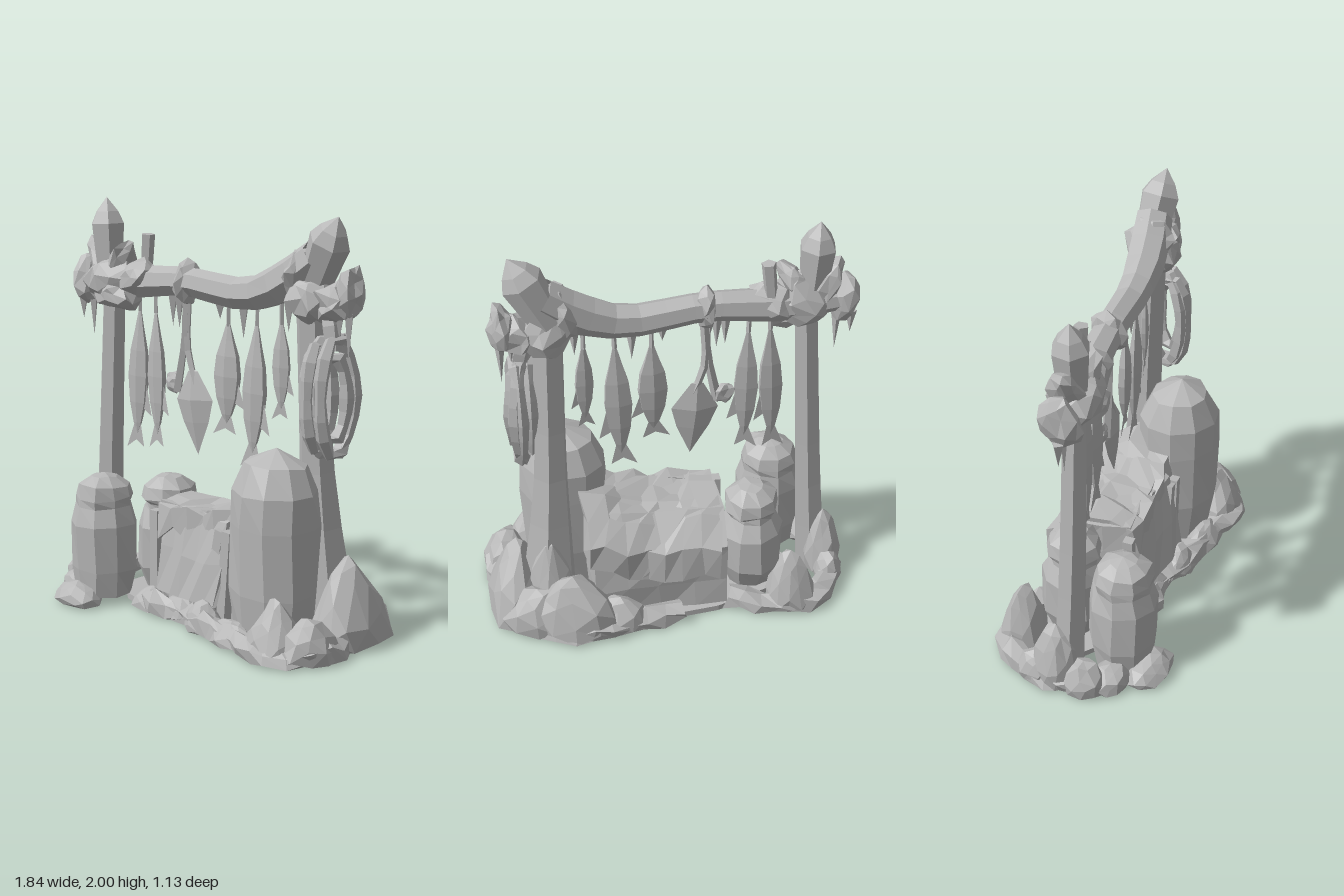
import * as THREE from 'three';

const stone = new THREE.MeshStandardMaterial({ color: 0xb8b8b8, flatShading: true, side: THREE.DoubleSide });
stone.name = 'plain grey';

const YAW = 0.245;
const beamZ = (x) => -0.03 - 0.25 * x; // the rack runs slightly askew

// Position-based noise, so shared corners stay joined
const hash = (x, y, z, s) => {
  const v = Math.sin(Math.round(x * 500) * 0.127 + Math.round(y * 500) * 0.311 + Math.round(z * 500) * 0.747 + s * 7.13) * 43758.5453;
  return (v - Math.floor(v)) * 2 - 1;
};

function reshape(geo, rule) {
  const p = geo.attributes.position;
  const v = new THREE.Vector3();
  for (let i = 0; i < p.count; i++) {
    v.fromBufferAttribute(p, i);
    rule(v);
    p.setXYZ(i, v.x, v.y, v.z);
  }
  geo.computeVertexNormals();
  return geo;
}

const jitter = (geo, amount, seed) => reshape(geo, (v) => {
  const { x, y, z } = v;
  v.x += amount * hash(x, y, z, seed);
  v.y += amount * hash(x, y, z, seed + 1);
  v.z += amount * hash(x, y, z, seed + 2);
});

export function createModel() {
  const model = new THREE.Group();
  const add = (name, geo, x = 0, y = 0, z = 0, ry = 0, rz = 0) => {
    const m = new THREE.Mesh(geo, stone);
    m.name = name;
    m.position.set(x, y, z);
    m.rotation.set(0, ry, rz);
    model.add(m);
    return m;
  };

  // Boulder with a flat foot; peak narrows its top
  let seed = 1;
  const rock = (name, x, z, rx, h, rz, peak = 0.2) => {
    const s = seed++;
    const geo = reshape(jitter(new THREE.IcosahedronGeometry(1, 1), 0.1, s), (v) => {
      const t = THREE.MathUtils.clamp((v.y + 0.45) / 1.45, 0, 1);
      const k = 1 - peak * t;
      v.set(v.x * rx * k, 0.01 + t * h, v.z * rz * k);
    });
    return add(name, geo, x, 0, z);
  };

  // Uneven lump, used for knots and bundles
  const lump = (name, x, y, z, rx, ry, rz, tilt = 0) => {
    const geo = jitter(new THREE.IcosahedronGeometry(1, 1), 0.2, seed++).scale(rx, ry, rz);
    return add(name, geo, x, y, z, YAW, tilt);
  };

  // Tapering limb through points [x, y, z, radius]
  const limb = (name, pts, sides = 6, steps = 8, closed = false) => {
    const curve = new THREE.CatmullRomCurve3(pts.map((p) => new THREE.Vector3(p[0], p[1], p[2])), closed);
    const geo = new THREE.TubeGeometry(curve, steps, 1, sides, closed);
    const pos = geo.attributes.position;
    const v = new THREE.Vector3();
    for (let i = 0; i <= steps; i++) {
      const t = i / steps;
      const c = curve.getPointAt(t);
      const f = curve.getUtoTmapping(t) * (closed ? pts.length : pts.length - 1);
      const a = Math.floor(f + 1e-6);
      const r = THREE.MathUtils.lerp(pts[a % pts.length][3], pts[(a + 1) % pts.length][3], Math.max(0, f - a));
      for (let j = 0; j <= sides; j++) {
        const k = i * (sides + 1) + j;
        v.fromBufferAttribute(pos, k).sub(c).multiplyScalar(r).add(c);
        pos.setXYZ(k, v.x, Math.max(0.004, v.y), v.z);
      }
    }
    return add(name, geo);
  };

  const lathe = (profile, sides) => new THREE.LatheGeometry(profile.map(([r, y]) => new THREE.Vector2(r, y)), sides);

  // Rack: two posts and a sagging crossbeam
  limb('leftPost', [[-0.76, 0, 0.13, 0.085], [-0.72, 0.6, 0.14, 0.07], [-0.665, 1.55, 0.14, 0.06]], 6, 6);
  limb('rightPost', [[0.57, 0, -0.25, 0.16], [0.54, 0.5, -0.22, 0.11], [0.525, 0.9, -0.2, 0.08], [0.515, 1.6, -0.17, 0.075]], 6, 6);
  limb('crossbeam', [[-0.88, 1.59, 0.17, 0.05], [-0.55, 1.59, 0.1, 0.085], [-0.2, 1.62, 0.02, 0.07],
    [0.18, 1.595, -0.075, 0.08], [0.38, 1.67, -0.125, 0.1], [0.54, 1.79, -0.18, 0.09]], 7, 12);

  // Pointed ends of the posts
  const tip = [[0, -0.2], [0.07, -0.16], [0.09, 0.08], [0.06, 0.14], [0, 0.21]];
  add('leftPostTip', lathe(tip, 6), -0.7, 1.79, 0.15, 0, 0.06);
  add('rightPostTip', lathe(tip, 6).scale(1.15, 1, 1.1), 0.58, 1.8, -0.19, 0, -0.48);

  // Lashings and snow clumps on the corners
  const clumps = [[-0.84, 1.58, 0.18, 0.07, 0.13, 0.09, 0.1], [-0.65, 1.6, 0.15, 0.14, 0.14, 0.12, 0],
    [-0.5, 1.62, 0.1, 0.11, 0.09, 0.1, 0.4], [-0.74, 1.68, 0.15, 0.06, 0.13, 0.08, 0.5], [-0.6, 1.54, 0.17, 0.13, 0.08, 0.09, -0.3],
    [-0.6, 1.69, 0.14, 0.05, 0.13, 0.08, -0.5],
    [-0.2, 1.62, 0.02, 0.05, 0.1, 0.085, 0], [0.45, 1.71, -0.15, 0.07, 0.14, 0.11, -0.3], [0.53, 1.6, -0.17, 0.12, 0.12, 0.12, 0.2],
    [0.66, 1.6, -0.2, 0.1, 0.09, 0.1, -0.2], [0.72, 1.65, -0.23, 0.055, 0.12, 0.09, 0]];
  for (const c of clumps) lump('lashing', ...c);
  add('stub', new THREE.CylinderGeometry(0.035, 0.03, 0.2, 5), -0.49, 1.73, 0.06, 0, -0.1);

  // Icicles
  const icicles = [[-0.88, 1.5, 0.12], [-0.81, 1.54, 0.24], [-0.62, 1.52, 0.08], [-0.29, 1.56, 0.16], [-0.25, 1.56, 0.17], [-0.22, 1.56, 0.1],
    [0.0, 1.54, 0.08], [0.14, 1.54, 0.16], [0.4, 1.58, 0.14], [0.62, 1.54, 0.16], [0.68, 1.56, 0.13], [0.73, 1.58, 0.24]];
  for (const [x, top, len] of icicles) {
    add('icicle', new THREE.ConeGeometry(0.028, len, 4).rotateX(Math.PI), x, top - len / 2, beamZ(x));
  }

  // Hanging fish: flattened body, forked tail, side fin, string
  const fish = (x, top, bottom, w, yaw, tilt) => {
    const g = new THREE.Group();
    g.name = 'hangingFish';
    const L = top - bottom;
    const part = (name, geo) => {
      const m = new THREE.Mesh(geo, stone);
      m.name = name;
      g.add(m);
    };
    part('body', lathe([[0, -0.9], [0.2, -0.82], [0.4, -0.68], [0.5, -0.5], [0.42, -0.33], [0.24, -0.2], [0.08, -0.07], [0, 0]]
      .map(([r, y]) => [r * w, y * L]), 6).scale(1, 1, 0.4));
    const flat = (pts) => new THREE.ShapeGeometry(new THREE.Shape(pts.map(([px, py]) => new THREE.Vector2(px * w, py * L))));
    part('tail', flat([[-0.1, -0.8], [-0.5, -1], [-0.05, -0.94], [0.35, -0.98], [0.12, -0.8]]));
    part('fin', flat([[0.4, -0.55], [0.68, -0.76], [0.3, -0.72]]));
    part('string', new THREE.CylinderGeometry(0.01, 0.012, 0.16, 4).translate(0, 0.03, 0));
    g.position.set(x, top, beamZ(x));
    g.rotation.set(0, yaw, tilt);
    model.add(g);
  };
  fish(-0.5, 1.5, 0.75, 0.13, 0.3, -0.04);
  fish(-0.4, 1.5, 0.77, 0.13, 0.1, 0.01);
  fish(0.05, 1.48, 0.9, 0.16, 0.3, -0.02);
  fish(0.22, 1.5, 0.76, 0.15, 0.2, -0.04);
  fish(0.36, 1.52, 1.02, 0.1, 0.4, 0);

  // Flat hide hung on straps
  const hide = lathe([[0, -0.22], [0.08, -0.06], [0.115, 0.05], [0.03, 0.19], [0, 0.2]], 4).scale(1, 1, 0.3);
  add('hangingHide', hide, -0.15, 1.0, beamZ(-0.16), YAW, 0.08);
  limb('strap', [[-0.2, 1.6, 0.03, 0.02], [-0.21, 1.35, 0.03, 0.018], [-0.26, 1.08, 0.04, 0.025]], 4, 5);
  limb('strap', [[-0.19, 1.55, 0.02, 0.02], [-0.2, 1.3, 0.02, 0.02], [-0.14, 1.12, 0.01, 0.015]], 4, 5);
  lump('hook', -0.29, 1.12, 0.04, 0.055, 0.05, 0.025, -0.6);

  // Coiled rope loops beside the right post
  const coils = [[0.62, -0.14, 0.26, 0.09, 0.02], [0.64, -0.18, 0.28, 0.12, -0.03], [0.67, -0.19, 0.28, 0.11, 0.03], [0.68, -0.16, 0.2, 0.07, -0.02]];
  for (const [x, z, ry, rz, lean] of coils) {
    const pts = [];
    for (let i = 0; i < 10; i++) {
      const a = (i / 10) * Math.PI * 2;
      pts.push([x + lean * Math.cos(a), 1.17 + ry * Math.sin(a), z + rz * Math.cos(a), i % 2 ? 0.038 : 0.026]);
    }
    limb('ropeCoil', pts, 5, 14, true);
  }
  limb('ropeTie', [[0.6, 1.6, -0.18, 0.03], [0.64, 1.5, -0.18, 0.045], [0.66, 1.38, -0.18, 0.04]], 5, 4);

  // Barrels and jars
  const cask = (name, x, z, r, y0, h, profile, sides, s, tilt = 0) =>
    add(name, jitter(lathe(profile.map(([pr, py]) => [pr * r, py * h]), sides), 0.008, s), x, y0, z, 0, tilt);
  const round = [[0, 0], [0.88, 0], [0.98, 0.25], [1, 0.6], [0.95, 0.78], [0.68, 0.92], [0, 1]];
  cask('largeBarrel', 0.48, 0.01, 0.225, 0.04, 0.89, round, 10, 3, -0.02).scale.z = 0.9;
  const barrel = [[0, 0], [0.85, 0], [1, 0.22], [1, 0.6], [0.86, 0.76], [0.88, 0.83], [0.78, 0.93], [0.4, 1], [0, 1.02]];
  const jar = [[0, 0], [0.7, 0], [1, 0.22], [1, 0.56], [0.75, 0.72], [0.72, 0.76], [0.86, 0.81], [0.8, 0.92], [0.4, 1], [0, 1.02]];
  cask('frontBarrel', -0.53, 0.3, 0.165, 0.04, 0.6, barrel, 9, 5);
  cask('backJar', -0.44, -0.03, 0.16, 0.03, 0.58, jar, 9, 8);

  // Chest with a draped cover, rising to the right and falling to the back
  const rise = (x) => 0.1 * THREE.MathUtils.smoothstep(x, -0.05, 0.35);
  const fall = (z) => 0.16 * THREE.MathUtils.smoothstep(-z, 0.02, 0.26);
  const chest = reshape(jitter(new THREE.BoxGeometry(0.66, 0.53, 0.42, 4, 3, 3), 0.014, 4), (v) => {
    if (v.y > 0.2) v.y += rise(v.x) * 0.7 - fall(v.z);
  });
  add('chest', chest, 0.04, 0.28, -0.11, 0.2);
  const cover = new THREE.BoxGeometry(0.66, 0.12, 0.46, 7, 1, 4);
  add('chestCover', reshape(jitter(cover, 0.022, 9), (v) => {
    v.y += rise(v.x) - fall(v.z) - (v.y < 0 ? 0.05 * Math.abs(Math.sin(v.x * 14)) : 0);
  }), 0.06, 0.49, -0.11, 0.2);
  const apron = new THREE.BoxGeometry(0.44, 0.42, 0.03, 5, 2, 1);
  add('hangingCloth', reshape(jitter(apron, 0.014, 6), (v) => { v.z += (0.21 - v.y) * 0.2; }), 0.02, 0.33, 0.11, 0.08);
  for (const [x, tilt] of [[-0.26, 0], [0.17, -0.2], [0.25, -0.08]]) {
    add('plank', new THREE.BoxGeometry(0.05, 0.48, 0.05), x, 0.26, 0.14 - x * 0.1, 0.2, tilt);
  }

  // Ground slab and the low, broken banks curling round it
  add('groundSlab', new THREE.CylinderGeometry(1, 1, 0.03, 14).scale(0.74, 1, 0.3), 0.08, 0.019, -0.08, 0.2);
  const banks = [
    [[-0.77, 0.3], [-0.84, 0.12], [-0.84, -0.08], [-0.74, -0.22], [-0.56, -0.27], [-0.34, -0.22]],
    [[-0.32, 0.2], [-0.18, 0.23], [0.02, 0.17], [0.2, 0.22], [0.42, 0.23], [0.66, 0.23], [0.81, 0.18], [0.85, 0.04], [0.8, -0.14]],
    [[0.8, -0.2], [0.73, -0.37], [0.55, -0.48], [0.36, -0.5], [0.12, -0.42], [-0.1, -0.32]],
  ];
  for (const path of banks) {
    const bank = limb('lowBank', path.map(([x, z], i) => [x, 0.045, z, i % 2 ? 0.07 : 0.05]), 6, path.length * 2);
    jitter(bank.geometry, 0.02, seed++);
    reshape(bank.geometry, (v) => { v.y = Math.max(0.006, v.y); });
  }

  // Rocks: x, z, width radius, height, depth radius, peak
  const rocks = [[-0.81, 0.1, 0.1, 0.35, 0.13, 0.3], [-0.64, -0.2, 0.14, 0.33, 0.12, 0.5], [-0.84, 0.0, 0.08, 0.16, 0.1],
    [-0.8, 0.24, 0.1, 0.18, 0.12], [-0.7, 0.33, 0.12, 0.12, 0.1], [-0.54, 0.45, 0.17, 0.11, 0.12, 0.4],
    [-0.25, 0.2, 0.14, 0.11, 0.1, 0.5], [-0.05, 0.16, 0.16, 0.11, 0.09, 0.4], [0.18, 0.2, 0.13, 0.15, 0.1, 0.5],
    [0.42, 0.21, 0.18, 0.12, 0.09, 0.5], [0.68, 0.15, 0.17, 0.28, 0.14, 0.6], [0.8, 0.06, 0.13, 0.2, 0.17, 0.4],
    [0.71, -0.25, 0.18, 0.42, 0.24, 0.6], [0.54, -0.3, 0.15, 0.48, 0.14, 0.5], [0.42, -0.42, 0.26, 0.33, 0.16, 0.45],
    [0.6, -0.41, 0.2, 0.24, 0.14, 0.4], [0.2, -0.4, 0.17, 0.18, 0.1, 0.4]];
  for (const r of rocks) rock('rock', ...r);

  return model;
}
